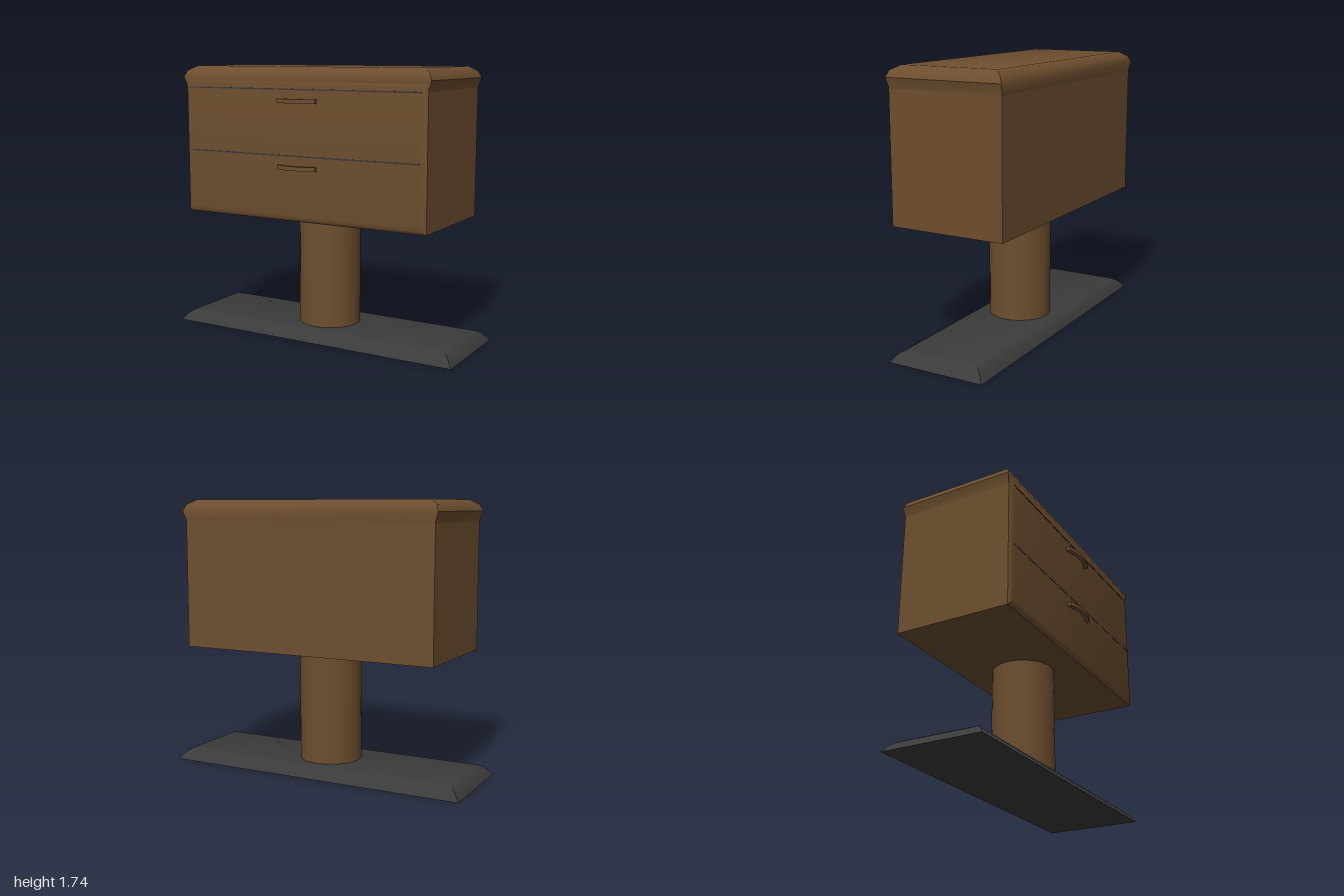
import * as THREE from 'three';
import { toCreasedNormals } from 'three/addons/utils/BufferGeometryUtils.js';

// Closed solid through stacked rectangles: [height, halfWidth, zFront, zBack]
function stackRects(rings) {
  const pos = [];
  const corners = rings.map(([y, x, f, b]) => [[x, y, f], [x, y, b], [-x, y, b], [-x, y, f]]);
  const quad = (a, b, c, d) => pos.push(...a, ...b, ...c, ...a, ...c, ...d);
  for (let r = 0; r < corners.length - 1; r++) {
    const lo = corners[r], hi = corners[r + 1];
    for (let i = 0; i < 4; i++) {
      const j = (i + 1) % 4;
      quad(lo[i], lo[j], hi[j], hi[i]);
    }
  }
  quad(...corners[corners.length - 1]);
  quad(...corners[0].slice().reverse());
  const geo = new THREE.BufferGeometry();
  geo.setAttribute('position', new THREE.Float32BufferAttribute(pos, 3));
  return toCreasedNormals(geo, 0.7);
}

export function createModel() {
  const model = new THREE.Group();
  const wood = new THREE.MeshStandardMaterial({ color: 0x6d4e2f });
  wood.name = 'brown wood';
  const charcoal = new THREE.MeshStandardMaterial({ color: 0x3b3b3b });
  charcoal.name = 'charcoal';
  const add = (name, geo, mat, x = 0, y = 0, z = 0) => {
    const mesh = new THREE.Mesh(geo, mat);
    mesh.name = name;
    mesh.position.set(x, y, z);
    model.add(mesh);
    return mesh;
  };

  // Long foot plate with rounded edges
  const baseRings = [[0, 0], [0.03, 0.02], [0.055, 0.045], [0.072, 0.075]]
    .map(([y, inset]) => [y, 1 - inset, 0.32 - inset, -0.32 + inset]);
  add('base', stackRects(baseRings), charcoal, 0, 0, -0.032);

  // Round pedestal
  add('column', new THREE.CylinderGeometry(0.2, 0.2, 0.75, 32), wood, 0, 0.435, -0.032);

  // Cabinet box flaring into a bevelled top
  add('cabinet', stackRects([
    [0.79, 0.855, 0.345, -0.405],
    [1.6, 0.855, 0.345, -0.405],
    [1.61, 0.855, 0.345, -0.405],
    [1.67, 0.875, 0.355, -0.415],
    [1.71, 0.857, 0.337, -0.395],
    [1.74, 0.81, 0.285, -0.35],
  ]), wood);

  // Front panel with bevelled rim, stood upright
  const panel = stackRects([
    [0.34, 0.855, -0.79, -1.665],
    [0.346, 0.855, -0.79, -1.665],
    [0.358, 0.84, -0.805, -1.635],
    [0.364, 0.82, -0.83, -1.6],
  ]);
  panel.rotateX(Math.PI / 2);
  add('frontPanel', panel, wood);

  // Curved pull handle, drawn in plan and extruded upward
  const outline = new THREE.Shape();
  outline.moveTo(-0.135, 0.36);
  outline.quadraticCurveTo(0, 0.415, 0.135, 0.36);
  outline.lineTo(0.135, 0.388);
  outline.quadraticCurveTo(0, 0.442, -0.135, 0.388);
  outline.closePath();
  const handle = new THREE.ExtrudeGeometry(outline, { depth: 0.026, bevelEnabled: false, curveSegments: 10 });
  handle.rotateX(Math.PI / 2);

  // Two drawers: a dark gap above each and a handle
  [['upper', 1.604, 1.548], ['lower', 1.198, 1.141]].forEach(([side, gapY, handleTop]) => {
    add(side + 'DrawerGap', new THREE.BoxGeometry(1.635, 0.008, 0.008), charcoal, 0, gapY, 0.362);
    add(side + 'DrawerHandle', handle, wood, 0, handleTop, 0);
  });
  return model;
}
